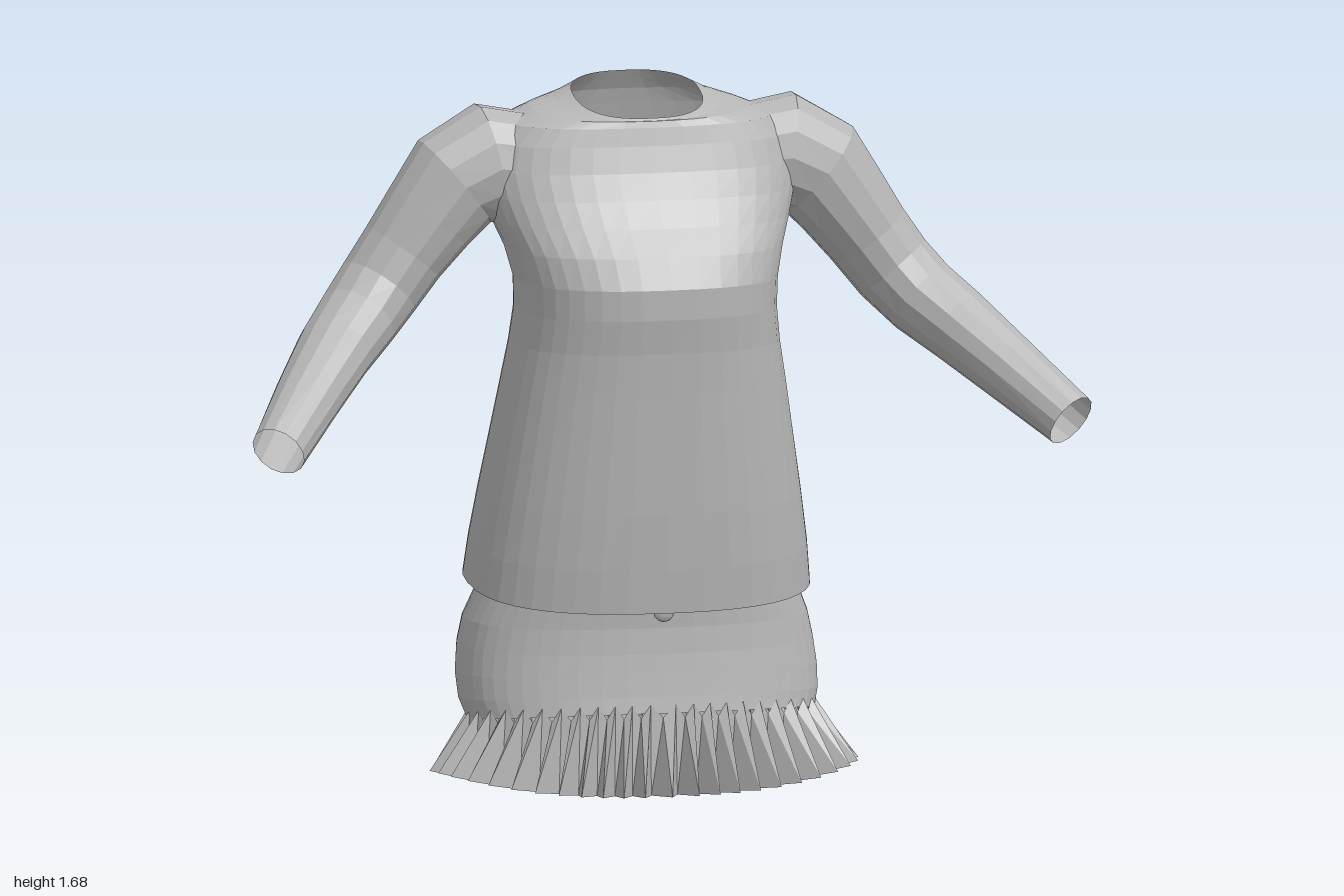
import * as THREE from 'three';

const cloth = new THREE.MeshStandardMaterial({ color: 0xb6b6b6, side: THREE.DoubleSide });
cloth.name = 'grey cloth';

// Skin a list of closed rings, with softly faceted cloth
function loft(name, rows) {
  const n = rows[0].length, pos = [], idx = [];
  rows.forEach(r => r.forEach(p => pos.push(p.x, p.y, p.z)));
  for (let i = 0; i < rows.length - 1; i++) {
    for (let j = 0; j < n; j++) {
      const a = i * n + j, b = i * n + (j + 1) % n;
      idx.push(a, b, b + n, a, b + n, a + n);
    }
  }
  const g = new THREE.BufferGeometry();
  g.setAttribute('position', new THREE.Float32BufferAttribute(pos, 3));
  g.setIndex(idx);
  const flat = g.toNonIndexed();
  flat.computeVertexNormals();
  const mesh = new THREE.Mesh(flat, cloth);
  mesh.name = name;
  return mesh;
}

const spow = (v, p) => Math.sign(v) * Math.abs(v) ** p;

// Body ring: height, half width, front z, back z, tilt of height along z
function bodyPoint(t, [y, w, zf, zb, tilt = 0, p = 0.8]) {
  const zc = (zf + zb) / 2 - 0.01;
  const c = spow(Math.cos(t), p);
  const z = zc + c * (c > 0 ? zf - zc : zc - zb);
  return new THREE.Vector3(w * spow(Math.sin(t), p), y + tilt * z, z);
}
function bodyRing(section, n = 40) {
  return Array.from({ length: n }, (_, j) => bodyPoint(j / n * Math.PI * 2, section));
}

// Sleeve rings around a bent arm path
function makeSleeve(side) {
  const stops = [ // x, y, z, radius across the arm, radius in depth
    [0.24, 1.48, -0.08, 0.12, 0.11], [0.35, 1.49, -0.075, 0.14, 0.12],
    [0.43, 1.45, -0.072, 0.127, 0.113], [0.49, 1.37, -0.075, 0.112, 0.11],
    [0.55, 1.29, -0.078, 0.102, 0.108], [0.61, 1.21, -0.07, 0.098, 0.107],
    [0.67, 1.145, -0.035, 0.094, 0.103], [0.74, 1.085, 0.035, 0.088, 0.095],
    [0.83, 1.0, 0.145, 0.078, 0.082], [0.94, 0.895, 0.29, 0.066, 0.06]];
  const curve = new THREE.CatmullRomCurve3(stops.map(s => new THREE.Vector3(s[0], s[1], s[2])));
  const rows = stops.map((s, i) => {
    const t = curve.getTangent(i / (stops.length - 1));
    const u = new THREE.Vector3(0, 0, 1).addScaledVector(t, -t.z).normalize();
    const v = new THREE.Vector3().crossVectors(t, u);
    return Array.from({ length: 14 }, (_, j) => {
      const a = side * j / 14 * Math.PI * 2;
      const p = new THREE.Vector3(s[0], s[1], s[2])
        .addScaledVector(u, Math.cos(a) * s[4]).addScaledVector(v, Math.sin(a) * s[3]);
      p.x *= side;
      return p;
    });
  });
  return loft(side > 0 ? 'leftSleeve' : 'rightSleeve', rows);
}

export function createModel() {
  const group = new THREE.Group();
  group.name = 'tunicAndSkirt';

  // Tunic body, from flared hem to neck opening
  group.add(loft('tunicBody', [
    [0.505, 0.40, 0.215, -0.335, -0.16], [0.6, 0.39, 0.225, -0.32, -0.12],
    [0.72, 0.372, 0.235, -0.30, -0.07], [0.85, 0.35, 0.243, -0.275, -0.03],
    [0.98, 0.328, 0.25, -0.248], [1.08, 0.31, 0.257, -0.232],
    [1.16, 0.30, 0.268, -0.225], [1.23, 0.302, 0.268, -0.222],
    [1.3, 0.32, 0.235, -0.224], [1.36, 0.345, 0.185, -0.23],
    [1.42, 0.365, 0.145, -0.238], [1.48, 0.375, 0.115, -0.242],
    [1.54, 0.36, 0.095, -0.23], [1.585, 0.32, 0.085, -0.215, -0.05],
    [1.605, 0.25, 0.08, -0.205, -0.12], [1.612, 0.19, 0.076, -0.192, -0.22],
    [1.622, 0.15, 0.07, -0.18, -0.3]
  ].map(s => bodyRing(s))));

  group.add(makeSleeve(1), makeSleeve(-1));

  // Fitted skirt with a soft groove down the lower back
  const skirt = [
    [0.21, 0.405, 0.185, -0.215, 0.13], [0.255, 0.418, 0.18, -0.265, 0.09],
    [0.31, 0.42, 0.175, -0.302, 0.05], [0.37, 0.413, 0.17, -0.318],
    [0.43, 0.40, 0.167, -0.315], [0.49, 0.375, 0.17, -0.295],
    [0.55, 0.35, 0.175, -0.26], [0.62, 0.335, 0.18, -0.23]];
  const depth = [0.02, 0.045, 0.05, 0.045, 0.03, 0.015, 0, 0];
  group.add(loft('skirt', skirt.map((s, i) => {
    const ring = bodyRing(s, 48);
    ring.forEach(p => { if (p.z < -0.1) p.z += depth[i] * Math.exp(-((p.x / 0.07) ** 2)); });
    return ring;
  })));

  // Pleated ruffle: folds swing in and out, packed closer at front and back
  const folds = 46;
  const inner = [0.06, 0.42, 0.195, -0.185];
  const outer = [0.055, 0.50, 0.272, -0.245];
  const upper = [], lower = [];
  for (let j = 0; j < folds * 2; j++) {
    const a = j / (folds * 2) * Math.PI * 2;
    const t = a - 0.22 * Math.sin(2 * a);
    const out = j % 2 === 0;
    const top = bodyPoint(t, skirt[0]);
    top.y += out ? -0.01 : 0.02;
    const low = bodyPoint(t, out ? outer : inner);
    const side = Math.sin(t) ** 2;
    low.y = 0.03 + 0.08 * low.z + 0.04 * side + (out ? 0.02 * side : 0);
    if (low.z < -0.2) low.y = Math.max(0, low.y - 0.01);
    upper.push(top);
    lower.push(low);
  }
  group.add(loft('pleatedRuffle', [lower, upper]));

  // Small round tab under the front hem
  const tab = new THREE.Mesh(new THREE.SphereGeometry(0.025, 10, 6), cloth);
  tab.name = 'hemTab';
  tab.scale.z = 0.4;
  tab.position.set(0, 0.472, 0.19);
  group.add(tab);

  return group;
}
